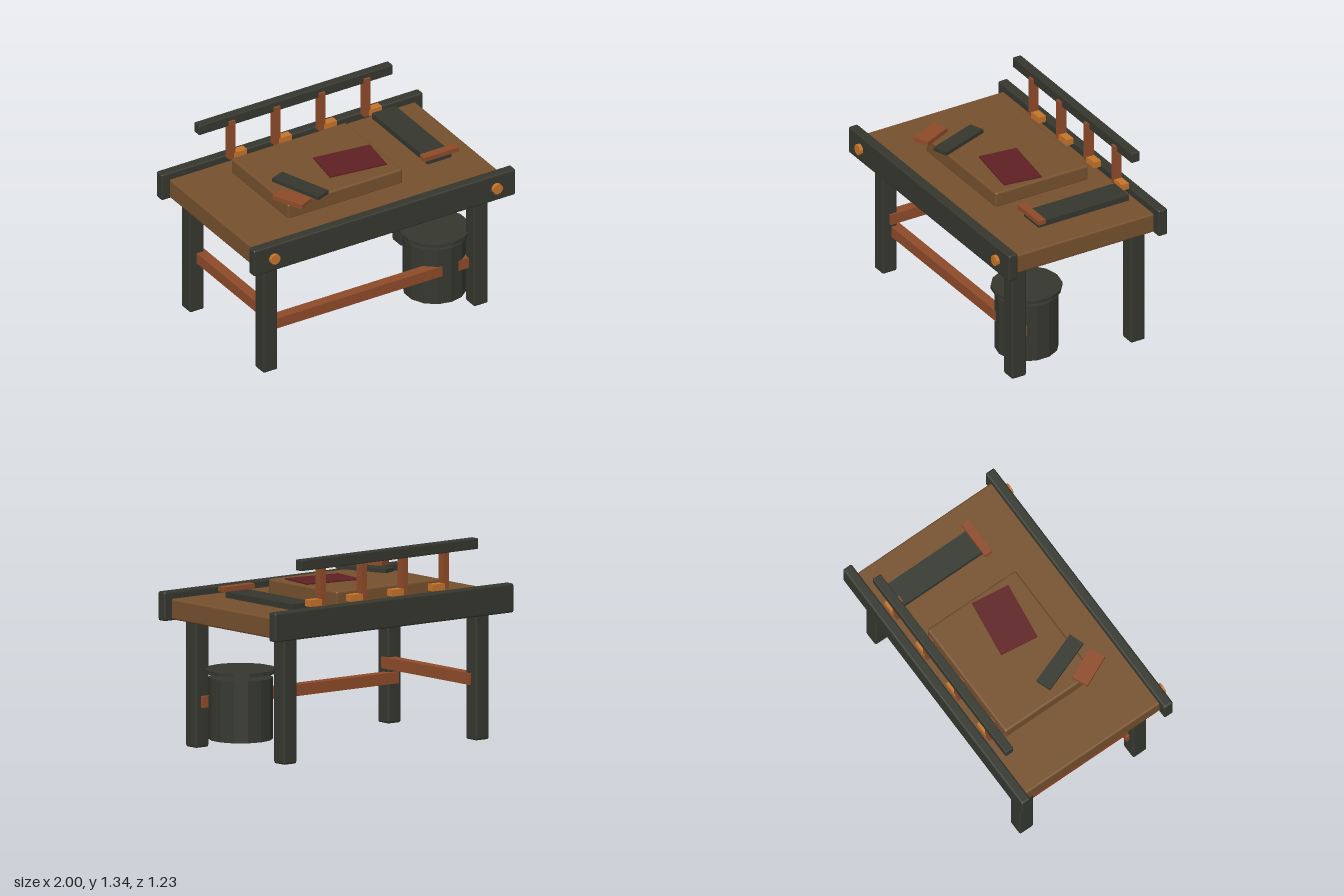
import * as THREE from 'three';
import { RoundedBoxGeometry } from 'three/addons/geometries/RoundedBoxGeometry.js';

const mat = (name, color) => Object.assign(new THREE.MeshStandardMaterial({ color, flatShading: true }), { name });

export function createModel() {
  const model = new THREE.Group();
  const dark = mat('charcoal', 0x35372f);
  const wood = mat('brown wood', 0x76502d);
  const red = mat('reddish wood', 0x8e4b2a);
  const amber = mat('amber wood', 0xc5742a);
  const maroon = mat('maroon', 0x5f2023);

  const add = (name, geometry, material, x, y, z) => {
    const mesh = new THREE.Mesh(geometry, material);
    mesh.name = name;
    mesh.position.set(x, y, z);
    model.add(mesh);
    return mesh;
  };
  // Box given by its limits on each axis; bevel rounds the edges
  const box = (name, material, [x0, x1], [y0, y1], [z0, z1], bevel = 0) => {
    const size = [x1 - x0, y1 - y0, z1 - z0];
    const geometry = bevel ? new RoundedBoxGeometry(...size, 2, bevel) : new THREE.BoxGeometry(...size);
    return add(name, geometry, material, (x0 + x1) / 2, (y0 + y1) / 2, (z0 + z1) / 2);
  };

  // Table top between two long rails
  box('tableTop', wood, [-0.94, 0.94], [0.837, 0.973], [-0.555, 0.535], 0.012);
  box('frontRail', dark, [-1, 1], [0.83, 1.022], [0.523, 0.592], 0.012);
  box('backRail', dark, [-1, 1], [0.83, 1.022], [-0.617, -0.548], 0.012);

  // Legs and front bolts
  for (const s of [-1, 1]) {
    const xs = s < 0 ? [-0.86, -0.75] : [0.75, 0.86];
    box('frontLeg', dark, xs, [0, 0.86], [0.372, 0.482], 0.014);
    box('backLeg', dark, xs, [0, 0.86], [-0.534, -0.424], 0.014);
    const bolt = add('bolt', new THREE.CylinderGeometry(0.037, 0.037, 0.04, 10), amber, s * 0.85, 0.927, 0.597);
    bolt.rotation.x = Math.PI / 2;
  }

  // Stretchers
  box('frontStretcher', red, [-0.82, 0.82], [0.265, 0.34], [0.345, 0.416]);
  box('sideStretcher', red, [-0.81, -0.737], [0.362, 0.438], [-0.48, 0.43]);

  // Bucket with a raised lid
  add('bucket', new THREE.CylinderGeometry(0.21, 0.21, 0.407, 14), dark, 0.61, 0.262, 0.22);
  add('bucketLid', new THREE.CylinderGeometry(0.234, 0.234, 0.025, 14), dark, 0.61, 0.508, 0.22);

  // Work board and the things lying on it
  box('workBoard', wood, [-0.547, 0.328], [0.965, 1.075], [-0.425, 0.281], 0.014);
  const flat = (name, material, [w, h, d], x, y, z, turn) => {
    add(name, new THREE.BoxGeometry(w, h, d), material, x, y, z).rotation.y = turn;
  };
  flat('cloth', maroon, [0.405, 0.009, 0.268], 0.085, 1.08, 0.022, -0.133);
  flat('hammerHead', dark, [0.107, 0.026, 0.385], -0.367, 1.094, 0.14, 0.35);
  flat('hammerGrip', red, [0.115, 0.031, 0.228], -0.508, 1.105, 0.267, 0.43);

  // Saw on the right of the table
  box('sawBlade', dark, [0.563, 0.744], [1.0, 1.04], [-0.48, 0.21]);
  box('sawHandle', red, [0.522, 0.785], [1.044, 1.075], [0.18, 0.236]);

  // Tool rack: rail, posts and a peg beside each post
  box('rackRail', dark, [-0.743, 0.739], [1.267, 1.338], [-0.564, -0.502], 0.006);
  for (let i = 0; i < 4; i++) {
    const x = -0.497 + i * 0.344;
    box('rackPost', red, [x - 0.023, x + 0.023], [1.022, 1.305], [-0.537, -0.486]);
    box('rackPeg', amber, [x + 0.01, x + 0.11], [1.02, 1.064], [-0.538, -0.485]);
  }
  return model;
}
